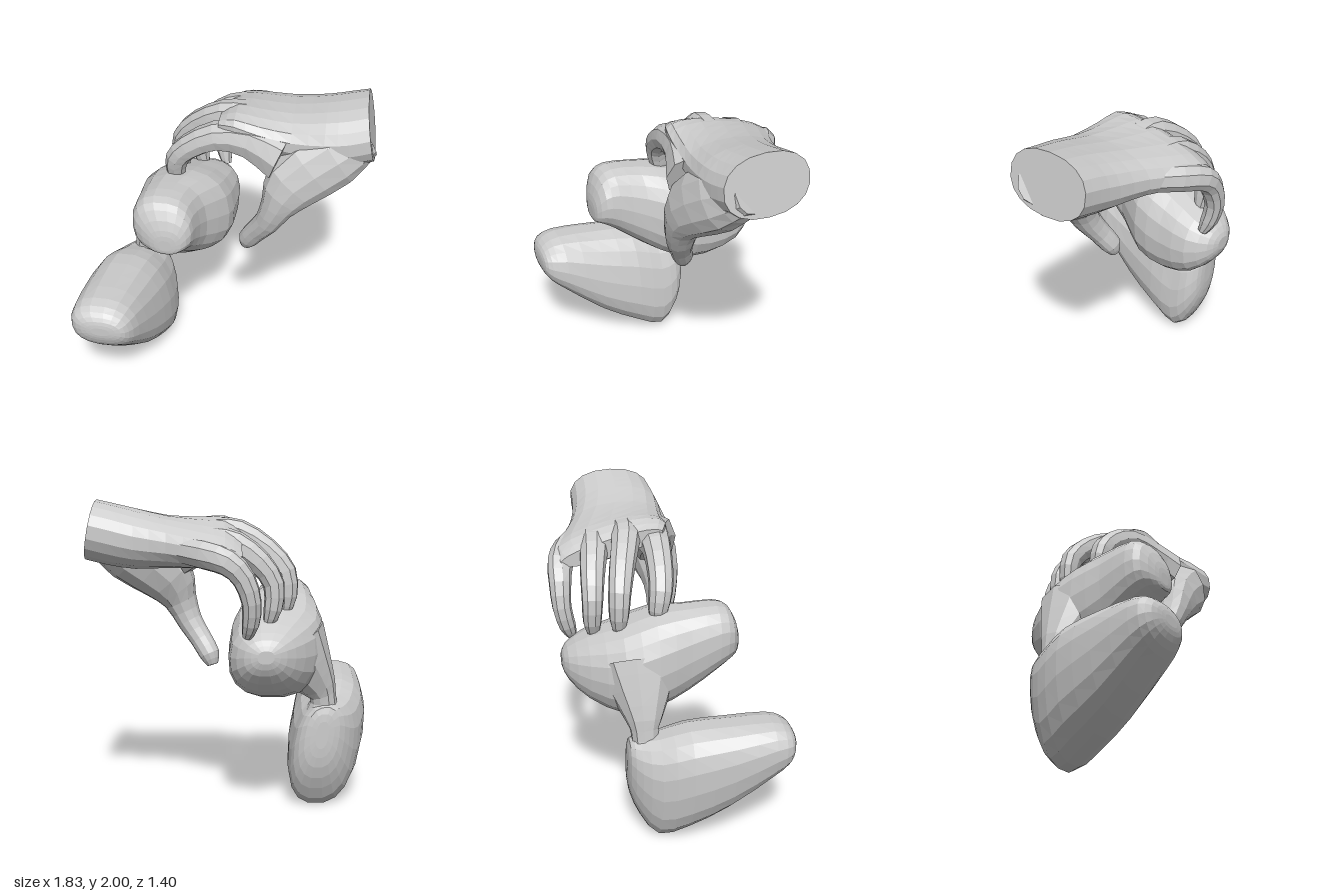
import * as THREE from 'three';

const V = (x, y, z) => new THREE.Vector3(x, y, z);
const material = new THREE.MeshStandardMaterial({ color: 0xcccccc, flatShading: true, side: THREE.DoubleSide });

// Smooth loft through rings { c: centre, u, v: half axes }, with u x v along the path
function loft(name, rings, sides, power) {
  const curve = (key) => new THREE.CatmullRomCurve3(rings.map((r) => r[key]), false, 'catmullrom', 0.5);
  const [C, U, W] = ['c', 'u', 'v'].map(curve);
  const steps = (rings.length - 1) * 2;
  const pos = [], index = [];
  const bulge = (k) => Math.sign(k) * Math.abs(k) ** power;
  for (let i = 0; i <= steps; i++) {
    const c = C.getPoint(i / steps), u = U.getPoint(i / steps), v = W.getPoint(i / steps);
    for (let j = 0; j < sides; j++) {
      const a = (j / sides) * Math.PI * 2;
      pos.push(...c.clone().addScaledVector(u, bulge(Math.cos(a))).addScaledVector(v, bulge(Math.sin(a))).toArray());
    }
  }
  for (let i = 0; i < steps; i++) {
    for (let j = 0; j < sides; j++) {
      const a = i * sides + j, b = i * sides + ((j + 1) % sides);
      index.push(a, b, b + sides, a, b + sides, a + sides);
    }
  }
  // End caps
  const first = pos.length / 3, last = first + 1, base = steps * sides;
  pos.push(...rings[0].c.toArray(), ...rings.at(-1).c.toArray());
  for (let j = 0; j < sides; j++) {
    const k = (j + 1) % sides;
    index.push(first, k, j, last, base + j, base + k);
  }
  const g = new THREE.BufferGeometry();
  g.setAttribute('position', new THREE.Float32BufferAttribute(pos, 3));
  g.setIndex(index);
  g.computeVertexNormals();
  const mesh = new THREE.Mesh(g, material);
  mesh.name = name;
  return mesh;
}

// Limb along points [x, y, z, radius in z, radius across (same if left out)]
function limb(name, pts, sides = 9) {
  const p = pts.map((q) => V(q[0], q[1], q[2]));
  const rings = pts.map(([, , , rz, across = rz], i) => {
    const t = p[Math.min(i + 1, p.length - 1)].clone().sub(p[Math.max(i - 1, 0)]).normalize();
    const u = V(0, 0, 1).addScaledVector(t, -t.z).normalize();
    const v = t.clone().cross(u);
    return { c: p[i], u: u.multiplyScalar(rz), v: v.multiplyScalar(across) };
  });
  return loft(name, rings, sides, 0.9);
}

// Lump from upright sections [z, x, y, half width, half height], leaning sideways by lean
const lump = (name, sections, lean) => loft(name, sections.map(([z, x, y, w, h]) => (
  { c: V(x, y, z), u: V(w, 0, 0), v: V(lean * h, h, 0) })), 18, 0.83);

export function createModel() {
  const model = new THREE.Group();
  model.name = 'handHoldingLumps';

  // Lower lump, tallest at the back and narrowing to a raised front end
  model.add(lump('lowerLump', [
    [-0.315, -0.57, 0.52, 0.04, 0.09],
    [-0.3, -0.57, 0.5, 0.11, 0.2],
    [-0.24, -0.575, 0.43, 0.175, 0.29],
    [-0.13, -0.6, 0.375, 0.22, 0.375],
    [0.05, -0.635, 0.44, 0.25, 0.37],
    [0.3, -0.67, 0.525, 0.24, 0.305],
    [0.55, -0.7, 0.635, 0.215, 0.2],
    [0.65, -0.71, 0.665, 0.185, 0.135],
    [0.69, -0.7, 0.68, 0.13, 0.075],
    [0.7, -0.7, 0.68, 0.06, 0.03],
  ], -0.12));

  // Upper lump, tilted up to the front
  model.add(lump('upperLump', [
    [-0.655, -0.19, 1.09, 0.05, 0.04],
    [-0.62, -0.19, 1.08, 0.13, 0.11],
    [-0.5, -0.21, 1.06, 0.23, 0.21],
    [-0.3, -0.27, 1.06, 0.295, 0.295],
    [-0.1, -0.29, 1.11, 0.295, 0.32],
    [0.1, -0.335, 1.18, 0.225, 0.28],
    [0.28, -0.35, 1.255, 0.2, 0.215],
    [0.37, -0.34, 1.265, 0.175, 0.16],
    [0.42, -0.32, 1.22, 0.1, 0.09],
    [0.43, -0.32, 1.2, 0.04, 0.04],
  ], -0.05));

  // Link between the lumps, flaring into both
  model.add(limb('neck', [
    [-0.36, 1.09, -0.2, 0.26], [-0.46, 0.95, -0.2, 0.19], [-0.56, 0.81, -0.2, 0.11],
    [-0.585, 0.72, -0.2, 0.085], [-0.58, 0.57, -0.17, 0.15],
  ], 11));

  const hand = new THREE.Group();
  hand.name = 'hand';
  model.add(hand);

  // Wrist and palm: [x, y, z, half height, half width, tilt to the small finger, slant of the cut]
  hand.add(loft('palm', [
    [0.875, 1.815, -0.175, 0.185, 0.275, 0, -0.035],
    [0.75, 1.785, -0.17, 0.19, 0.285, 0, -0.02],
    [0.6, 1.76, -0.175, 0.185, 0.295, 0.01, 0],
    [0.4, 1.745, -0.21, 0.155, 0.31, 0.02, 0],
    [0.2, 1.745, -0.265, 0.135, 0.345, 0.05, 0],
    [0.05, 1.755, -0.3, 0.11, 0.36, 0.08, 0],
    [-0.05, 1.75, -0.3, 0.06, 0.32, 0.08, 0],
  ].map(([x, y, z, h, w, tilt, slant]) => (
    { c: V(x, y, z), u: V(slant, h, 0), v: V(0, -tilt, -w) })), 18, 0.88));

  // Thumb with a broad base that runs back into the wrist
  hand.add(limb('thumb', [
    [0.84, 1.78, -0.1, 0.14, 0.13], [0.65, 1.68, -0.02, 0.17, 0.21], [0.415, 1.495, 0.055, 0.155, 0.185],
    [0.335, 1.335, 0.08, 0.115, 0.11], [0.275, 1.2, 0.065, 0.09, 0.083], [0.2, 1.085, 0.025, 0.072],
    [0.145, 0.99, -0.015, 0.066], [0.125, 0.925, -0.03, 0.035],
  ], 12));

  // Curled fingers, from inside the palm to the tip
  const fingers = {
    indexFinger: [[0.34, 1.665, 0.02, 0.16], [0.14, 1.74, -0.02, 0.12], [-0.07, 1.74, -0.025, 0.092],
      [-0.24, 1.645, -0.035, 0.08], [-0.32, 1.55, -0.05, 0.074], [-0.335, 1.44, -0.07, 0.062], [-0.33, 1.36, -0.08, 0.03]],
    middleFinger: [[0.3, 1.77, -0.2, 0.1], [0.1, 1.79, -0.2, 0.1], [-0.04, 1.79, -0.215, 0.09],
      [-0.21, 1.69, -0.265, 0.08], [-0.325, 1.56, -0.3, 0.07], [-0.34, 1.41, -0.31, 0.06], [-0.32, 1.3, -0.31, 0.03]],
    ringFinger: [[0.3, 1.74, -0.34, 0.1], [0.12, 1.75, -0.385, 0.1], [-0.02, 1.73, -0.41, 0.088],
      [-0.16, 1.63, -0.44, 0.076], [-0.245, 1.5, -0.455, 0.066], [-0.24, 1.35, -0.46, 0.057], [-0.21, 1.25, -0.45, 0.03]],
    littleFinger: [[0.36, 1.72, -0.43, 0.08], [0.17, 1.69, -0.55, 0.09], [0.03, 1.645, -0.615, 0.082],
      [-0.06, 1.55, -0.63, 0.07], [-0.105, 1.41, -0.63, 0.06], [-0.1, 1.28, -0.6, 0.053], [-0.08, 1.2, -0.57, 0.03]],
  };
  for (const [name, pts] of Object.entries(fingers)) hand.add(limb(name, pts));

  return model;
}
